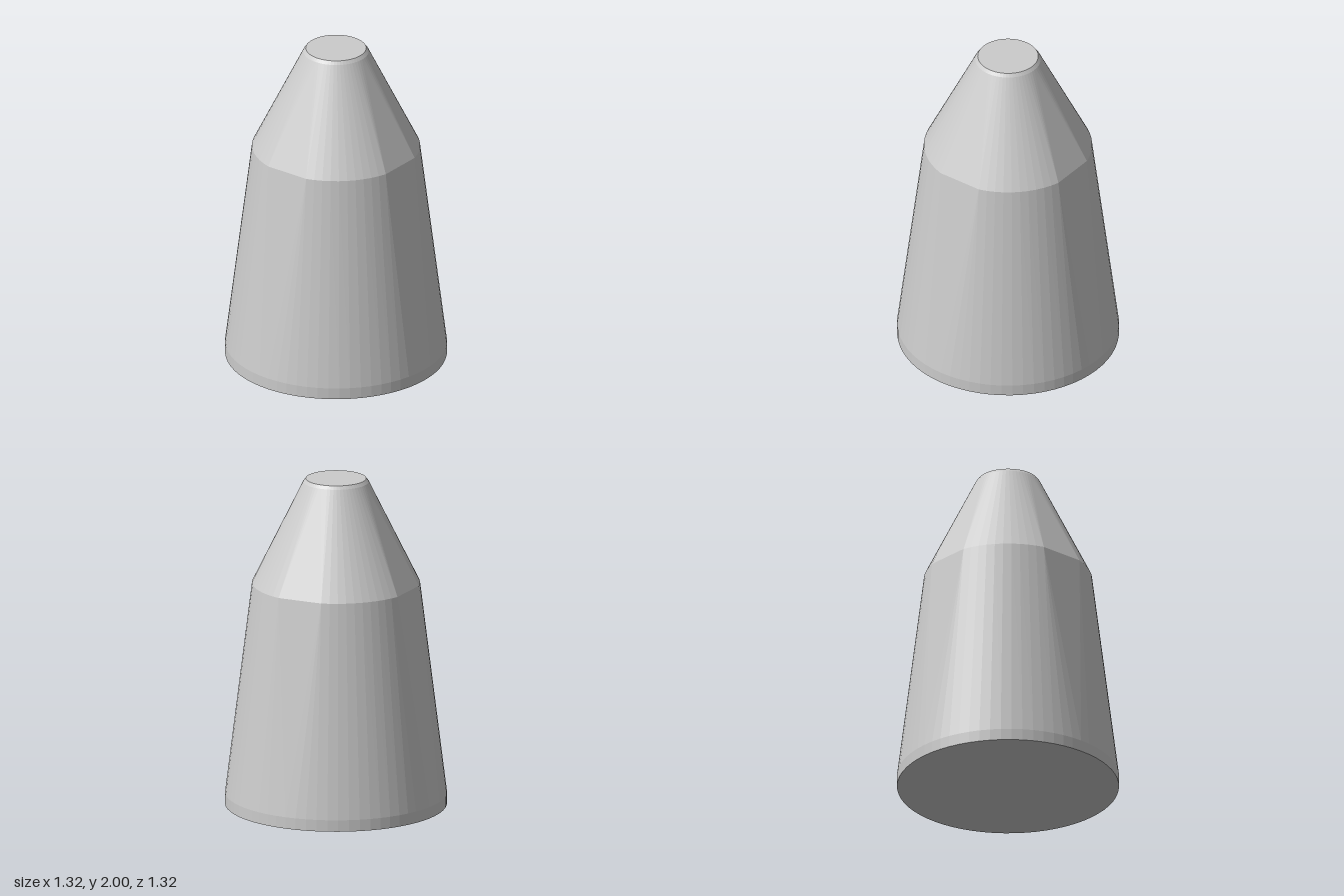
import * as THREE from 'three';
import { ConvexGeometry } from 'three/addons/geometries/ConvexGeometry.js';

const SEGMENTS = 64;
const deg = THREE.MathUtils.degToRad;

// Angle runs from +x towards -z.
const polar = (radius, y, angle) =>
  new THREE.Vector3(radius * Math.cos(angle), y, -radius * Math.sin(angle));

function circle(radius, y) {
  return Array.from({ length: SEGMENTS }, (_, i) => polar(radius, y, (i / SEGMENTS) * Math.PI * 2));
}

// Shoulder ring: four arcs separated by four straight chords (the flats).
function shoulderRing(radius, y) {
  const points = [];
  const flatEnd = 50.6, nextFlat = 107.7, steps = 10;
  for (let side = 0; side < 4; side++) {
    for (let i = 0; i <= steps; i++) {
      const angle = side * 90 + THREE.MathUtils.lerp(flatEnd, nextFlat, i / steps);
      points.push(polar(radius, y, deg(angle)));
    }
  }
  return points;
}

export function createModel() {
  const group = new THREE.Group();
  group.name = 'taperedCone';

  // The body is the taut skin over its rings, from foot to bevelled tip.
  const points = [
    ...circle(0.66, 0),
    ...circle(0.66, 0.07),
    ...shoulderRing(0.5, 1.36),
    ...circle(0.195, 1.98),
    ...circle(0.18, 2),
  ];
  const material = new THREE.MeshStandardMaterial({ color: 0xcccccc, flatShading: true });
  const body = new THREE.Mesh(new ConvexGeometry(points), material);
  body.name = 'body';
  group.add(body);
  return group;
}
